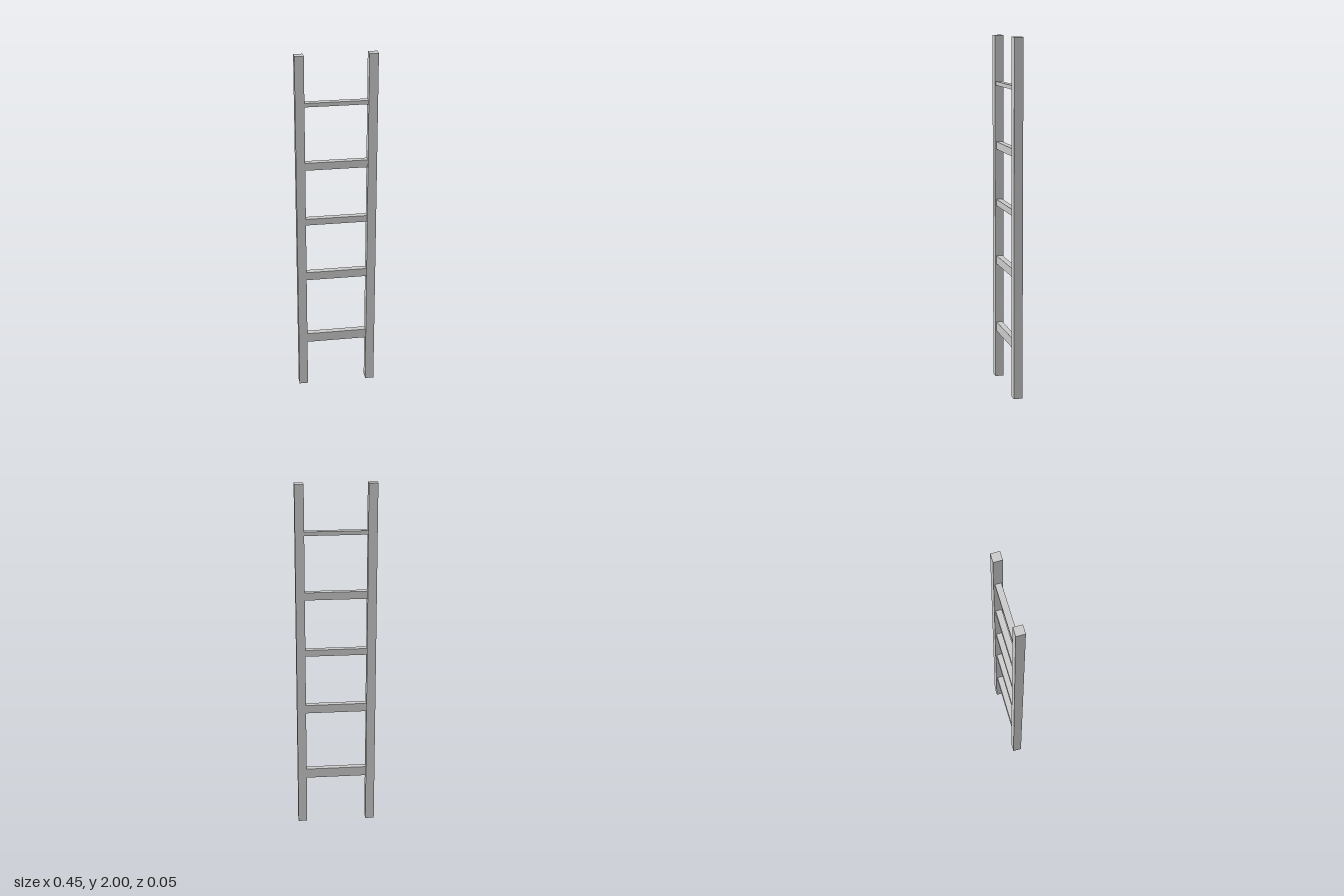
import * as THREE from 'three';

const material = new THREE.MeshStandardMaterial({ color: 0xcccccc, flatShading: true });

function box(name, w, h, d, x, y, z) {
  const mesh = new THREE.Mesh(new THREE.BoxGeometry(w, h, d), material);
  mesh.name = name;
  mesh.position.set(x, y, z);
  return mesh;
}

export function createModel() {
  const ladder = new THREE.Group();
  ladder.name = 'ladder';

  // Two square upright rails, very slightly offset in depth
  for (const side of [1, -1]) {
    const name = side > 0 ? 'leftRail' : 'rightRail';
    ladder.add(box(name, 0.05, 2, 0.05, side * 0.198, 1, side * 0.001));
  }

  // Rungs of uneven height: [bottom, top]
  const rungs = [[0.279, 0.334], [0.687, 0.735], [1.031, 1.068], [1.359, 1.402], [1.72, 1.742]];
  rungs.forEach(([bottom, top], i) => {
    ladder.add(box(`rung${i + 1}`, 0.348, top - bottom, 0.034, 0, (bottom + top) / 2, 0));
  });

  return ladder;
}
